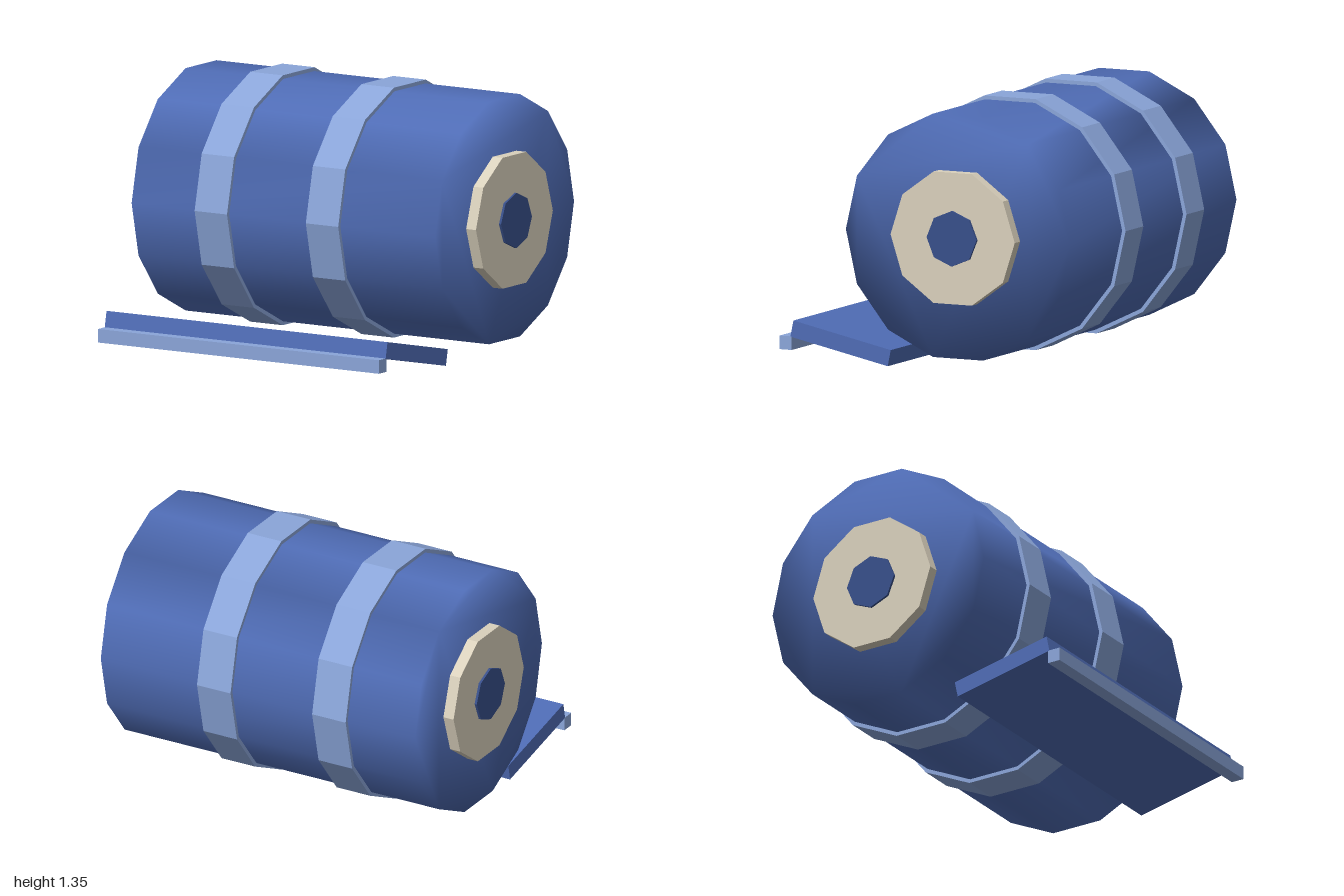
import * as THREE from 'three';
import { mergeVertices } from 'three/addons/utils/BufferGeometryUtils.js';

const AXIS_Y = 0.705, AXIS_Z = -0.197;

function paint(name, color, flat = true) {
  const m = new THREE.MeshStandardMaterial({ color });
  m.name = name;
  m.flatShading = flat;
  return m;
}

// Faceted disc lying along the x axis, with a corner pointing to +z
function disc(name, radius, x0, x1, sides, material) {
  const g = new THREE.CylinderGeometry(radius, radius, x1 - x0, sides);
  g.rotateZ(Math.PI / 2);
  const mesh = new THREE.Mesh(g, material);
  mesh.name = name;
  mesh.position.set((x0 + x1) / 2, AXIS_Y, AXIS_Z);
  return mesh;
}

// Prism whose corner normals are shared between wall and ends, for soft shading
function softDrum(radius, length, sides) {
  const points = [];
  for (let i = 0; i < sides; i++) {
    const a = (i / sides) * Math.PI * 2;
    points.push(new THREE.Vector2(radius * Math.cos(a), radius * Math.sin(a)));
  }
  let g = new THREE.ExtrudeGeometry(new THREE.Shape(points), { depth: length, bevelEnabled: false });
  g.translate(0, 0, -length / 2);
  g.rotateY(Math.PI / 2);
  g.deleteAttribute('normal');
  g.deleteAttribute('uv');
  g.clearGroups();
  g = mergeVertices(g, 1e-4);
  g.computeVertexNormals();
  return g;
}

function box(name, w, h, d, y, z, material) {
  const mesh = new THREE.Mesh(new THREE.BoxGeometry(w, h, d), material);
  mesh.name = name;
  mesh.position.set(0, y, z);
  return mesh;
}

export function createModel() {
  const model = new THREE.Group();
  model.name = 'rollerDrum';

  const blue = paint('drumBlue', 0x4f6cb5);
  blue.flatShading = false; // box faces stay crisp, the drum stays soft
  const lightBlue = paint('bandBlue', 0x8aa5d9);
  const cream = paint('hubCream', 0xd9d0bc);
  const navy = paint('axleNavy', 0x384f8a);

  // Main drum
  const drum = new THREE.Mesh(softDrum(0.643, 1.854, 14), blue);
  drum.name = 'drum';
  drum.position.set(0, AXIS_Y, AXIS_Z);
  model.add(drum);

  // Raised bands around the drum
  for (const x of [-0.43, 0.249]) {
    model.add(disc('band', 0.663, x - 0.099, x + 0.099, 14, lightBlue));
  }

  // Hubs and axle ends on both sides
  for (const side of [-1, 1]) {
    const end = new THREE.Group();
    end.name = side > 0 ? 'leftEnd' : 'rightEnd';
    const span = (a, b) => (side > 0 ? [a, b] : [-b, -a]);
    end.add(disc('hub', 0.356, ...span(0.86, 0.987), 10, cream));
    end.add(disc('axleEnd', 0.143, ...span(0.9, 1.0), 8, navy));
    model.add(end);
  }

  // Tilted scraper plate and its front lip
  const plate = box('scraperPlate', 1.716, 0.086, 0.57, 0.1025, 0.512, blue);
  plate.rotation.x = -0.205;
  model.add(plate);
  model.add(box('scraperLip', 1.716, 0.07, 0.07, 0.085, 0.827, lightBlue));

  return model;
}
